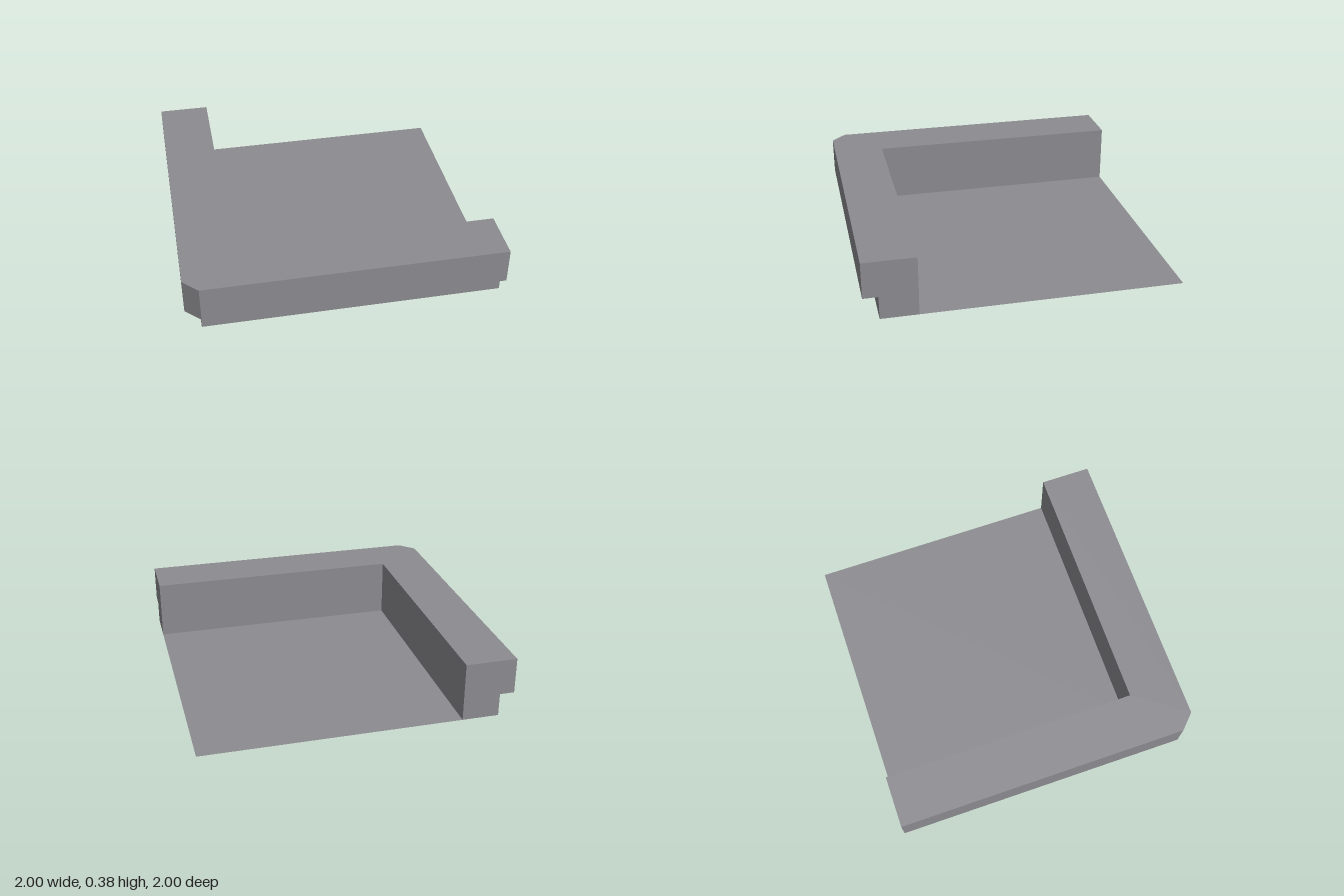
import * as THREE from 'three';

const INNER = 0.667;   // inner face of both walls
const STEP = 0.15;     // height of the recessed plinth
const TOP = 0.385;     // full wall height

export function createModel() {
  const group = new THREE.Group();
  group.name = 'cornerWallTile';

  const stone = new THREE.MeshStandardMaterial({ color: 0x8c8c91 });
  stone.name = 'stone grey';
  const floorStone = stone.clone();
  floorStone.name = 'stone grey floor';
  floorStone.side = THREE.DoubleSide;

  // L-shaped wall course along the -x and +z sides; outer reach and corner chamfer vary
  function wallCourse(name, reach, chamfer, y0, y1) {
    const points = [[-reach, 1], [-reach, -reach + chamfer]];
    if (chamfer > 0) points.push([-reach + chamfer, -reach]);
    points.push([1, -reach], [1, -INNER], [-INNER, -INNER], [-INNER, 1]);
    const shape = new THREE.Shape(points.map(([x, y]) => new THREE.Vector2(x, y)));
    const geometry = new THREE.ExtrudeGeometry(shape, { depth: y1 - y0, bevelEnabled: false });
    geometry.rotateX(-Math.PI / 2);
    const mesh = new THREE.Mesh(geometry, stone);
    mesh.name = name;
    mesh.position.y = y0;
    group.add(mesh);
  }

  wallCourse('wallPlinth', 0.905, 0, 0, STEP);
  wallCourse('wallTop', 1, 0.095, STEP, TOP);

  // Thin floor sheet filling the inside of the corner
  const size = 1 + INNER;
  const floor = new THREE.Mesh(new THREE.PlaneGeometry(size, size).rotateX(-Math.PI / 2), floorStone);
  floor.name = 'floor';
  floor.position.set((1 - INNER) / 2, 0, -(1 - INNER) / 2);
  group.add(floor);

  return group;
}
